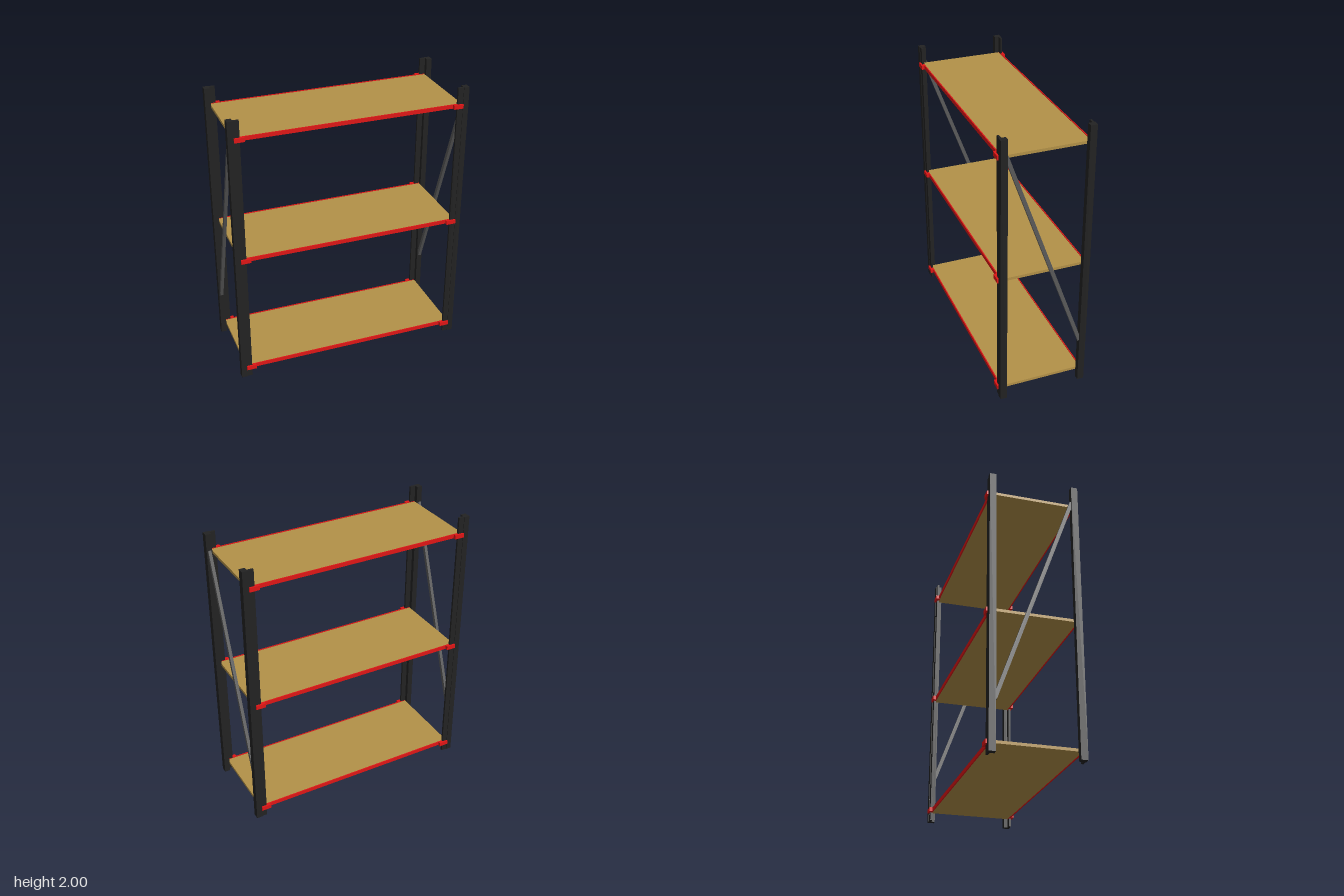
import * as THREE from 'three';

const mat = (color) => new THREE.MeshStandardMaterial({ color });

export function createModel() {
  const model = new THREE.Group();
  const black = mat(0x222222), red = mat(0xe01515), wood = mat(0xb39148), steel = mat(0x5a5a5a);

  // box given by its min/max extents on each axis
  function box(name, material, [x0, x1], [y0, y1], [z0, z1]) {
    const mesh = new THREE.Mesh(new THREE.BoxGeometry(x1 - x0, y1 - y0, z1 - z0), material);
    mesh.position.set((x0 + x1) / 2, (y0 + y1) / 2, (z0 + z1) / 2);
    mesh.name = name;
    model.add(mesh);
    return mesh;
  }
  // mirrored range when the sign is negative
  const side = (s, a, b) => (s > 0 ? [a, b] : [-b, -a]);

  // L-section corner posts: square outer bar with an inward flange
  const profile = [[0.84, 0.27], [0.84, 0.317], [0.8, 0.317], [0.8, 0.313], [0.76, 0.313], [0.76, 0.298], [0.8, 0.298], [0.8, 0.27]];
  for (const sx of [-1, 1]) for (const sz of [-1, 1]) {
    const shape = new THREE.Shape(profile.map(([x, z]) => new THREE.Vector2(sx * x, -sz * z)));
    const geometry = new THREE.ExtrudeGeometry(shape, { depth: 2, bevelEnabled: false });
    geometry.rotateX(-Math.PI / 2);
    const post = new THREE.Mesh(geometry, black);
    post.name = 'cornerPost';
    model.add(post);
  }

  // shelf boards with edge beams and end clips
  for (const y of [0.075, 0.972, 1.868]) {
    box('shelfBoard', wood, [-0.8, 0.8], [y - 0.01, y + 0.01], [-0.297, 0.297]);
    for (const sz of [-1, 1]) {
      box('shelfBeam', red, [-0.8, 0.8], [y - 0.014, y + 0.014], side(sz, 0.297, 0.305));
      for (const sx of [-1, 1]) {
        box('beamClip', red, side(sx, 0.73, 0.8), [y - 0.015, y + 0.015], side(sz, 0.3, 0.326));
      }
    }
  }

  // diagonal end braces, high at the front and low at the back
  const top = new THREE.Vector2(0.275, 1.88), bottom = new THREE.Vector2(-0.275, 0.345);
  const run = top.clone().sub(bottom);
  for (const sx of [-1, 1]) {
    const brace = new THREE.Mesh(new THREE.BoxGeometry(0.022, run.length(), 0.026), steel);
    brace.position.set(sx * 0.82, (top.y + bottom.y) / 2, 0);
    brace.rotation.x = Math.atan2(run.x, run.y);
    brace.name = 'diagonalBrace';
    model.add(brace);
  }
  return model;
}
